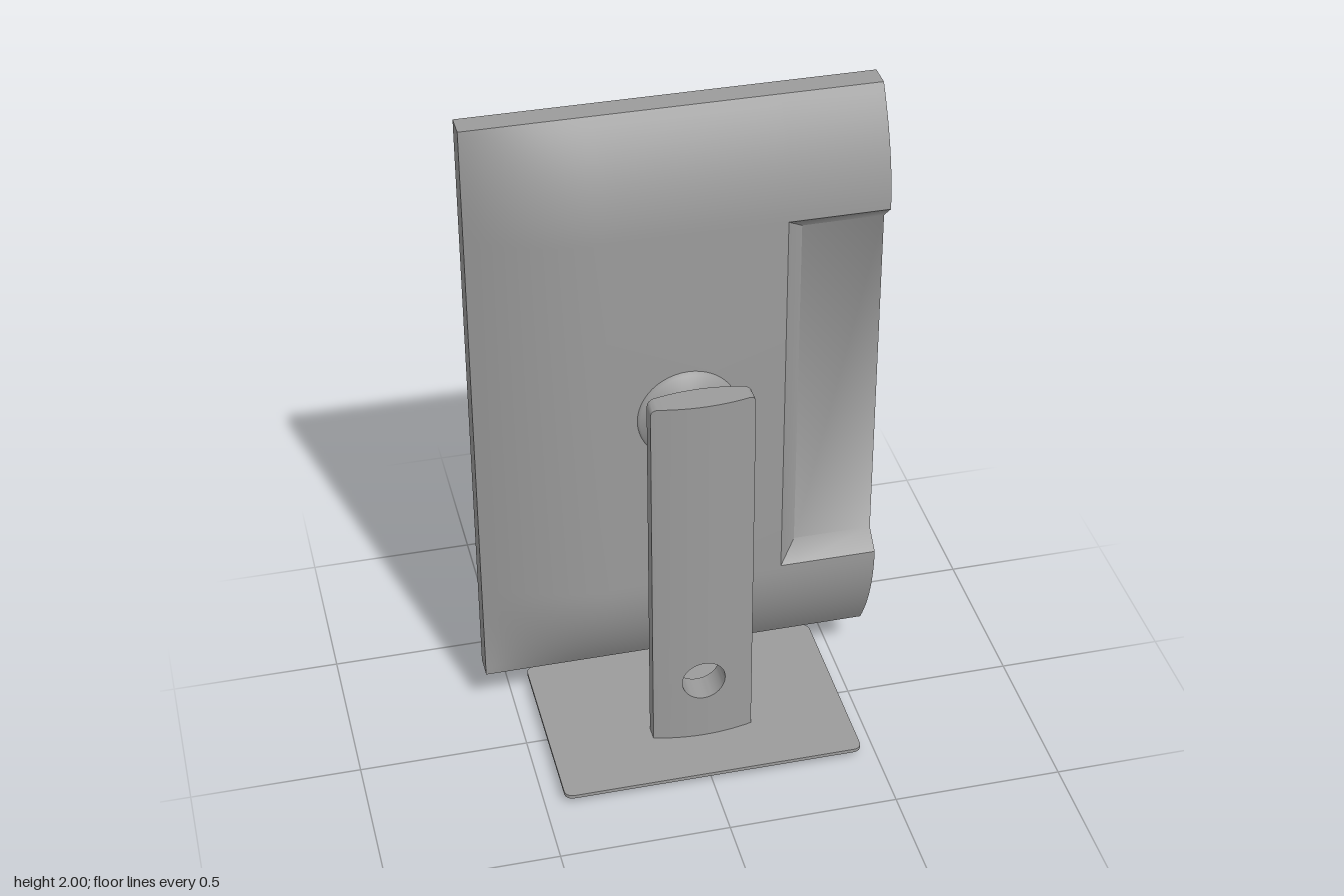
import * as THREE from 'three';
import { toCreasedNormals } from 'three/addons/utils/BufferGeometryUtils.js';

const grey = new THREE.MeshStandardMaterial({ color: 0x9b9b9b });
const COLUMN_X = 0.014, PLATE_X = 0.012, HINGE_X = 0.007;
const HINGE_Y = 1.071;
const X0 = -0.585, X1 = 0.585, Y0 = 0.143, Y1 = 2;
const RIM_Z = -0.172, SCREEN_Z = -0.243;

function add(group, name, geometry, crease = 0.6) {
  const mesh = new THREE.Mesh(toCreasedNormals(geometry, crease), grey);
  mesh.name = name;
  group.add(mesh);
}

// Surface over an (i, j) lattice; flip picks the other diagonal of a cell, skip leaves it open
function lattice(ni, nj, point, flip = () => false, skip = () => false) {
  const pos = [], index = [];
  for (let i = 0; i < ni; i++) for (let j = 0; j < nj; j++) pos.push(...point(i, j));
  for (let i = 0; i < ni - 1; i++) for (let j = 0; j < nj - 1; j++) {
    if (skip(i, j)) continue;
    const a = i * nj + j, b = a + nj, c = b + 1, d = a + 1;
    if (flip(i, j)) index.push(a, b, d, b, c, d);
    else index.push(a, b, c, a, c, d);
  }
  const g = new THREE.BufferGeometry();
  g.setAttribute('position', new THREE.Float32BufferAttribute(pos, 3));
  g.setIndex(index);
  return g;
}

function roundedRect(w, h, r) {
  const s = new THREE.Shape();
  s.absarc(w / 2 - r, h / 2 - r, r, 0, Math.PI / 2);
  s.absarc(-w / 2 + r, h / 2 - r, r, Math.PI / 2, Math.PI);
  s.absarc(-w / 2 + r, -h / 2 + r, r, Math.PI, 1.5 * Math.PI);
  s.absarc(w / 2 - r, -h / 2 + r, r, 1.5 * Math.PI, 2 * Math.PI);
  s.closePath();
  return s;
}

// Side profile drawn in (z, y), extruded across x from xa to xb
function acrossX(shape, xa, xb) {
  return new THREE.ExtrudeGeometry(shape, { depth: xb - xa, bevelEnabled: false, curveSegments: 12 })
    .rotateY(-Math.PI / 2).translate(xb, 0, 0);
}

function boxAt(x, y, z, w, h, d) {
  return new THREE.BoxGeometry(w, h, d).translate(x, y, z);
}

function buildDisplay() {
  const display = new THREE.Group();
  display.name = 'display';

  // Bezel frame around the sunken screen
  const rect = (S, m) => new S([
    new THREE.Vector2(X0 + m, Y0 + m), new THREE.Vector2(X1 - m, Y0 + m),
    new THREE.Vector2(X1 - m, Y1 - m), new THREE.Vector2(X0 + m, Y1 - m)]);
  const frame = rect(THREE.Shape, 0);
  frame.holes.push(rect(THREE.Path, 0.034));
  add(display, 'bezel', new THREE.ExtrudeGeometry(frame, { depth: RIM_Z - SCREEN_Z, bevelEnabled: false })
    .translate(0, 0, SCREEN_Z));
  add(display, 'screen', boxAt((X0 + X1) / 2, (Y0 + Y1) / 2, -0.197, X1 - X0 - 0.05, Y1 - Y0 - 0.05, 0.014));

  // Bulging rear housing, tapered on three edges, with an opening for the recess
  const taperX = 0.365, taperY = 0.336, steps = 12, recessX = 0.295;
  const yLow = Y0 + taperY, yHigh = Y1 - taperY;
  const xs = [], ys = [];
  for (let k = 0; k <= steps; k++) {
    xs.push(X0 + taperX * k / steps);
    ys.push(Y0 + taperY * k / steps);
  }
  xs.push(recessX, X1, X1);
  for (let k = steps; k >= 0; k--) ys.push(Y1 - taperY * k / steps);
  const ease = t => 1 - (1 - Math.min(1, t)) ** 2;
  const depth = (x, y) =>
    RIM_Z + 0.112 * ease((x - X0) / taperX) * ease(Math.min(y - Y0, Y1 - y) / taperY);
  add(display, 'rearHousing', lattice(xs.length, ys.length,
    (i, j) => [xs[i], ys[j], i === xs.length - 1 ? RIM_Z : depth(xs[i], ys[j])],
    (i, j) => ys[j] > 1,
    (i, j) => i > steps && j === steps), 0.9);

  // Side recess: sloping walls blend into a flat floor, open at the outer edge
  const rx = [recessX, recessX + 0.055, X1, X1];
  const ry = [yLow, yLow + 0.05, yHigh - 0.052, yHigh];
  add(display, 'sideRecess', lattice(4, 4, (i, j) => {
    const floor = i > 0 && (j === 1 || j === 2);
    return [rx[i], ry[j], i === 3 ? RIM_Z : floor ? -0.118 : -0.06];
  }, (i, j) => j === 2), 1);
  return display;
}

function buildColumn() {
  const column = new THREE.Group();
  column.name = 'column';
  const half = 0.15, r = 0.065, holeY = 0.246, bottom = 0.035;
  const frontZ = o => 0.11 + 0.02 * (1 - (o / half) ** 2);
  const backZ = o => 0.063 - 0.023 * (1 - (o / half) ** 2);
  const topY = o => 1.206 + Math.sqrt(0.0004 - Math.max(0, Math.abs(o) - 0.13) ** 2);
  const holeH = o => Math.sqrt(Math.max(0, r * r - o * o));

  // Offsets across the width, dense at the hole and the rounded top corners
  const os = [-0.15, -0.15, -0.148, -0.144, -0.138, -0.13, -0.11, -0.085];
  const mirror = os.map(o => -o).reverse();
  for (let k = 0; k <= 24; k++) os.push(-r * Math.cos(Math.PI * k / 24));
  os.push(...mirror);
  const wall = rows => (i, j) => {
    const o = os[i], cap = i === 0 || i === os.length - 1;
    const [y, front] = rows(o)[j];
    return [COLUMN_X + o, y, cap ? 0.0865 : front ? frontZ(o) : backZ(o)];
  };
  const lower = o => [[holeY - holeH(o), 0], [bottom, 0], [bottom, 1], [holeY - holeH(o), 1]];
  const upper = o => [[holeY + holeH(o), 1], [topY(o), 1], [topY(o), 0], [holeY + holeH(o), 0]];
  add(column, 'columnFoot', lattice(os.length, 4, wall(lower)));
  add(column, 'columnBody', lattice(os.length, 4, wall(upper)));

  // Lining of the cable hole
  add(column, 'cableHole', lattice(49, 2, (i, j) => {
    const a = i * Math.PI / 24, o = r * Math.cos(a);
    return [COLUMN_X + o, holeY + r * Math.sin(a), j ? backZ(o) : frontZ(o)];
  }));
  return column;
}

function buildHinge() {
  const hinge = new THREE.Group();
  hinge.name = 'hinge';

  // Round mounting plate against the housing
  add(hinge, 'mountPlate', new THREE.CylinderGeometry(0.141, 0.149, 0.014, 48)
    .rotateX(Math.PI / 2).translate(PLATE_X, HINGE_Y, -0.056), 1.2);

  // Tapered knuckle with a rounded nose
  const knuckle = new THREE.Shape();
  knuckle.moveTo(-0.052, HINGE_Y - 0.065);
  knuckle.lineTo(-0.016, HINGE_Y - 0.027);
  knuckle.absarc(-0.028, HINGE_Y, 0.028, -1.1, 1.1);
  knuckle.lineTo(-0.016, HINGE_Y + 0.027);
  knuckle.lineTo(-0.052, HINGE_Y + 0.065);
  knuckle.closePath();
  add(hinge, 'knuckle', acrossX(knuckle, HINGE_X - 0.1, HINGE_X + 0.1), 0.9);

  // Fork cheeks either side of the knuckle, joined behind it and fixed to the column
  const cheek = new THREE.Shape();
  cheek.moveTo(0.036, HINGE_Y + 0.033);
  cheek.lineTo(0, HINGE_Y + 0.033);
  cheek.absarc(0, HINGE_Y, 0.033, Math.PI / 2, 1.5 * Math.PI);
  cheek.lineTo(0.036, HINGE_Y - 0.033);
  cheek.closePath();
  for (const side of [-1, 1]) {
    const x = HINGE_X + side * 0.105;
    add(hinge, 'forkCheek', acrossX(cheek, x - 0.006, x + 0.006));
    add(hinge, 'columnLug', boxAt(HINGE_X + side * 0.054, HINGE_Y, 0.04, 0.024, 0.05, 0.03));
  }
  add(hinge, 'forkBridge', boxAt(HINGE_X, HINGE_Y, 0.019, 0.2, 0.066, 0.034));
  return hinge;
}

// Flat foot with rounded corners and an undercut edge
function buildBase() {
  const group = new THREE.Group();
  group.name = 'base';
  const g = new THREE.ExtrudeGeometry(roundedRect(0.897, 0.6, 0.025),
    { depth: 2, steps: 2, bevelEnabled: false, curveSegments: 6 }).rotateX(-Math.PI / 2);
  const p = g.attributes.position, levels = [0, 0.026, 0.037];
  for (let i = 0; i < p.count; i++) {
    const level = Math.round(p.getY(i)), inset = level === 0 ? 0.035 : 0;
    const x = p.getX(i), z = p.getZ(i);
    p.setXYZ(i, x * (1 - inset / 0.45) + 0.0065, levels[level], z * (1 - inset / 0.3));
  }
  add(group, 'footPlate', g, 0.8);
  return group;
}

export function createModel() {
  const model = new THREE.Group();
  model.name = 'monitor';
  model.add(buildDisplay(), buildColumn(), buildHinge(), buildBase());
  return model;
}
